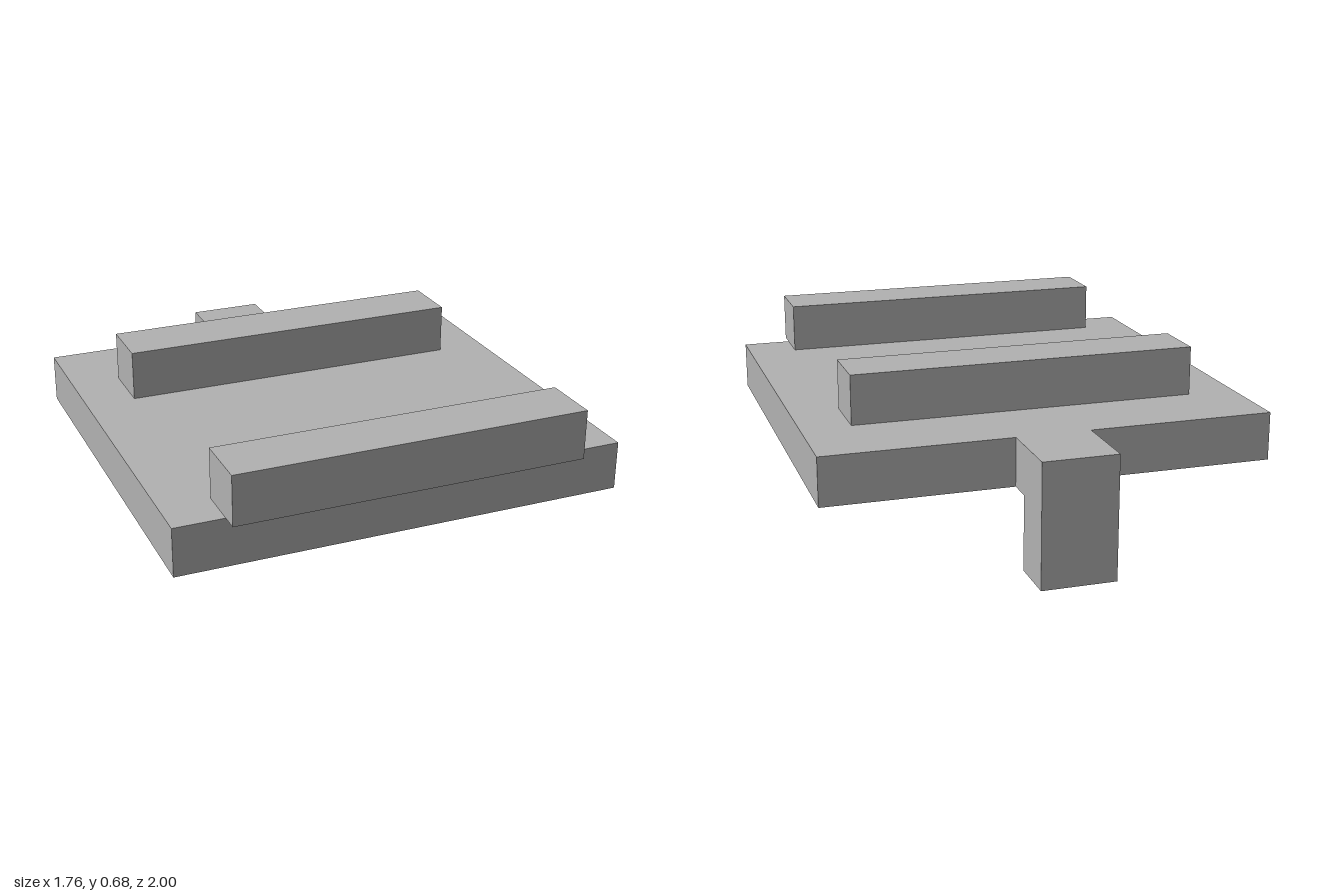
import * as THREE from 'three';

const BOTTOM = 0.295, TOP = 0.485, BAR_TOP = 0.68;

export function createModel() {
  const group = new THREE.Group();
  const grey = new THREE.MeshStandardMaterial({ color: 0xb2b2b2 });
  grey.name = 'grey';

  const add = (name, geometry) => {
    const mesh = new THREE.Mesh(geometry, grey);
    mesh.name = name;
    group.add(mesh);
    return mesh;
  };

  // Box centred on x, given by its y and z limits
  const slab = (name, width, y0, y1, z0, z1) =>
    add(name, new THREE.BoxGeometry(width, y1 - y0, z1 - z0))
      .position.set(0, (y0 + y1) / 2, (z0 + z1) / 2);

  // Flat deck with two raised cross bars; the front bar overhangs the edge
  slab('deck', 1.76, BOTTOM, TOP, -0.71, 0.93);
  slab('frontBar', 1.372, TOP, BAR_TOP, 0.77, 1);
  slab('rearBar', 1.372, TOP, BAR_TOP, -0.39, -0.16);

  // L-shaped rear bracket, profile drawn as (-z, y) and extruded along x
  const profile = new THREE.Shape([
    [0.71, BOTTOM], [0.805, BOTTOM], [0.805, 0], [1, 0], [1, TOP], [0.71, TOP],
  ].map(([z, y]) => new THREE.Vector2(z, y)));
  const bracket = new THREE.ExtrudeGeometry(profile, { depth: 0.292, bevelEnabled: false });
  bracket.translate(0, 0, -0.146).rotateY(Math.PI / 2);
  add('rearBracket', bracket);

  return group;
}
